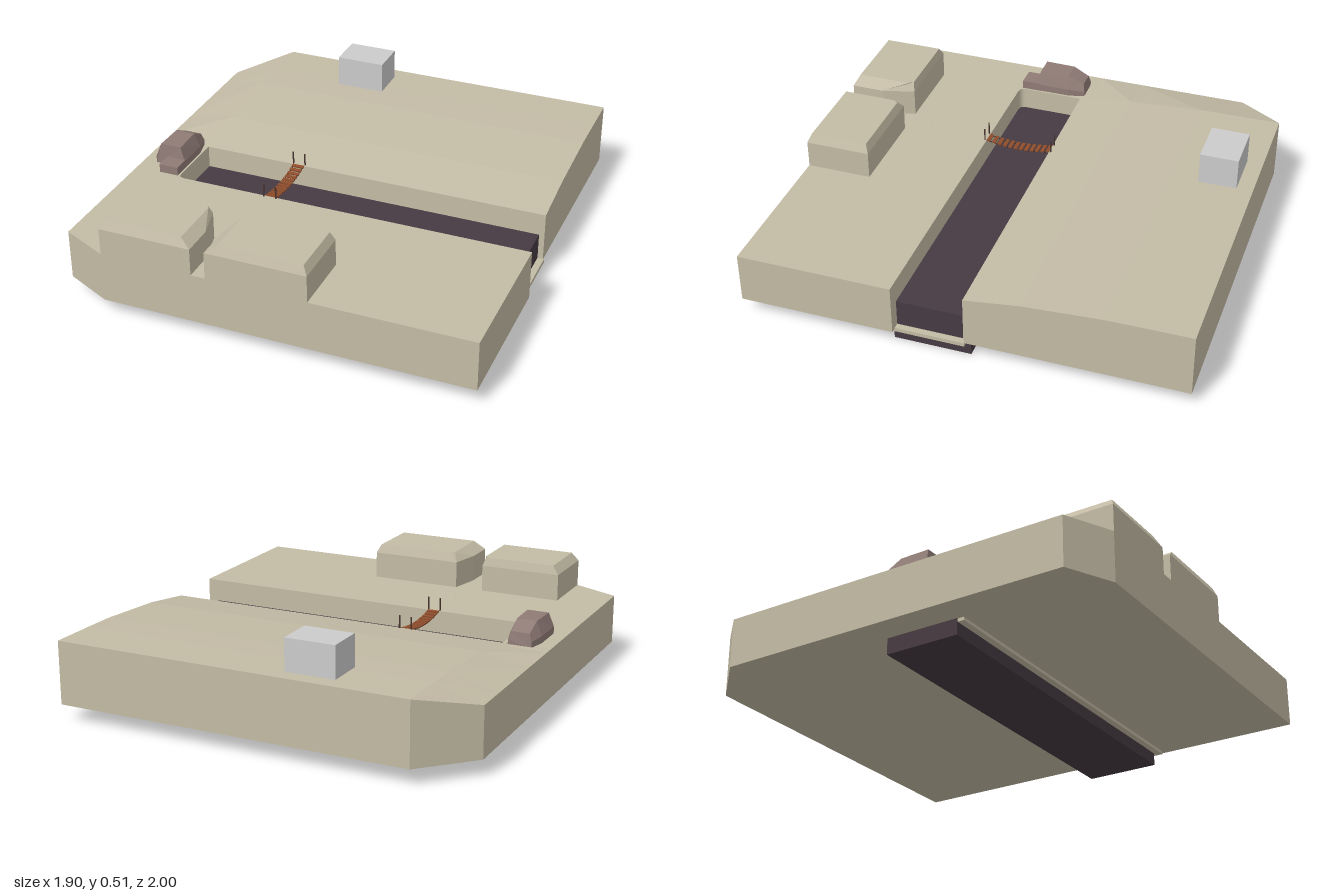
import * as THREE from 'three';

const material = (color) => new THREE.MeshStandardMaterial({ color, flatShading: true });
const earth = material(0xc3bba5);
const darkWater = material(0x463a42);
const mauve = material(0x8f7b76);
const wood = material(0x8f4d2c);
const darkWood = material(0x4a3530);
const grey = material(0xcccccc);

// Solid through rings of [x, y, z]; each ring runs counterclockwise seen from the last ring's end
function loft(rings) {
  const n = rings[0].length, last = (rings.length - 1) * n, index = [];
  for (let r = 0; r < last; r += n) {
    for (let i = 0; i < n; i++) {
      const j = (i + 1) % n;
      index.push(r + i, r + j, r + n + j, r + i, r + n + j, r + n + i);
    }
  }
  for (let i = 1; i < n - 1; i++) {
    index.push(0, i + 1, i, last, last + i, last + i + 1);
  }
  const g = new THREE.BufferGeometry();
  g.setAttribute('position', new THREE.Float32BufferAttribute(rings.flat(2), 3));
  g.setIndex(index);
  const flat = g.toNonIndexed();
  flat.computeVertexNormals();
  return flat;
}

export function createModel() {
  const model = new THREE.Group();

  const add = (name, geometry, mat, parent = model) => {
    const mesh = new THREE.Mesh(geometry, mat);
    mesh.name = name;
    parent.add(mesh);
    return mesh;
  };
  // Box given by its ranges on the three axes
  const box = (name, [x0, x1], [y0, y1], [z0, z1], mat, parent) => {
    const mesh = add(name, new THREE.BoxGeometry(x1 - x0, y1 - y0, z1 - z0), mat, parent);
    mesh.position.set((x0 + x1) / 2, (y0 + y1) / 2, (z0 + z1) / 2);
    return mesh;
  };

  // Flat front ground, wrapping round the closed end of the channel
  const bottom = 0.075, level = 0.305, bank = -0.015;
  const outline = new THREE.Shape();
  outline.moveTo(-0.95, -bank);
  outline.lineTo(-0.95, -0.895);
  outline.lineTo(-0.73, -1);
  outline.lineTo(0.95, -1);
  outline.lineTo(0.95, -0.295);
  outline.lineTo(-0.7, -0.295);
  outline.quadraticCurveTo(-0.73, -0.295, -0.73, -0.265);
  outline.lineTo(-0.73, -bank);
  const ground = new THREE.ExtrudeGeometry(outline, { depth: level - bottom, bevelEnabled: false, curveSegments: 4 });
  ground.rotateX(-Math.PI / 2).translate(0, bottom, 0);
  add('frontGround', ground, earth);

  // Rising back ground: level at its left edge, with one cut corner
  const profile = [[-1, 0.365], [-0.78, 0.364], [-0.62, 0.362], [-0.27, 0.34], [-0.065, 0.312], [bank, level]];
  add('backHill', loft(profile.map(([z, h]) => {
    const cut = Math.max(0, -0.78 - z) / 0.22;
    const left = -0.95 + 0.22 * cut;
    const leftTop = THREE.MathUtils.lerp(level, h, cut);
    return [[left, bottom, z], [0.92, bottom, z], [0.92, h, z], [-0.73, h, z], [left, leftTop, z]];
  })), earth);

  // Channel bed and the dark water body running through it
  box('channelBed', [-0.805, 0.925], [0.06, 0.078], [-0.02, 0.34], earth);
  box('water', [-0.81, 0.895], [0, 0.2], [-0.04, 0.31], darkWater);

  // Two bevelled blocks flanking the front gap
  const block = (name, base, top) => {
    const ring = (points, y) => points.map(([x, z]) => [x, y, z]);
    add(name, loft([ring(base, level - 0.01), ring(base, 0.43), ring(top, 0.47)]), earth);
  };
  block('rightBlock',
    [[-0.73, 1], [-0.305, 1], [-0.305, 0.85], [-0.345, 0.7], [-0.73, 0.7]],
    [[-0.7, 0.98], [-0.35, 0.98], [-0.35, 0.73], [-0.365, 0.71], [-0.7, 0.71]]);
  block('leftBlock',
    [[-0.24, 1], [0.22, 1], [0.22, 0.7], [-0.21, 0.7], [-0.24, 0.85]],
    [[-0.185, 0.983], [0.2, 0.983], [0.2, 0.715], [-0.17, 0.715], [-0.185, 0.74]]);

  // Plain box on the hill
  box('hillBox', [-0.37, -0.14], [0.34, 0.51], [-0.925, -0.75], grey);

  // Faceted hut at the closed end of the channel, with a low porch
  const hut = new THREE.Group();
  hut.name = 'hut';
  model.add(hut);
  const hutRing = (half, roofHalf, eave, roof, z, roofZ) => [
    [-half, 0.3, z], [half, 0.3, z], [half, eave, z],
    [roofHalf, roof, roofZ], [-roofHalf, roof, roofZ], [-half, eave, z],
  ].map(([x, y, zz]) => [x - 0.813, y, zz]);
  add('hutBody', loft([
    hutRing(0.055, 0.042, 0.33, 0.365, -0.028, -0.02),
    hutRing(0.073, 0.046, 0.338, 0.402, 0.05, 0.055),
    hutRing(0.073, 0.05, 0.338, 0.402, 0.208, 0.198),
  ]), mauve, hut);
  box('porch', [-0.83, -0.738], [0.3, 0.345], [0.19, 0.283], mauve, hut);

  // Sagging plank bridge with rope edges and end posts
  const bridge = new THREE.Group();
  bridge.name = 'bridge';
  model.add(bridge);
  const zMid = 0.14, half = 0.16;
  const sag = (z) => 0.286 + 0.02 * ((z - zMid) / half) ** 2;
  const planks = 12;
  for (let i = 0; i < planks; i++) {
    const z = zMid - half + (2 * half * (i + 0.5)) / planks;
    const plank = add('plank', new THREE.BoxGeometry(0.056, 0.006, 0.017), wood, bridge);
    plank.position.set(-0.266, sag(z), z);
    plank.rotation.x = -Math.atan((0.04 * (z - zMid)) / half ** 2);
  }
  for (const x of [-0.295, -0.237]) {
    const points = [0, 1, 2, 3, 4, 5, 6].map((i) => {
      const z = zMid - half + (half * i) / 3;
      return new THREE.Vector3(x + (x < -0.266 ? 0.006 : -0.006), sag(z) - 0.003, z);
    });
    add('rope', new THREE.TubeGeometry(new THREE.CatmullRomCurve3(points), 16, 0.003, 5), darkWood, bridge);
    for (const z of [zMid - half - 0.003, zMid + half + 0.003]) {
      add('post', new THREE.CylinderGeometry(0.0035, 0.0035, 0.07, 6), darkWood, bridge).position.set(x, 0.33, z);
    }
  }

  // Scattered pebbles on the path
  for (const [x, z] of [[-0.28, 0.57], [-0.255, 0.575], [-0.265, 0.59], [-0.25, 0.59], [-0.275, 0.61]]) {
    const pebble = add('pebble', new THREE.IcosahedronGeometry(0.005, 0), earth);
    pebble.position.set(x, level, z);
    pebble.scale.y = 0.5;
  }

  return model;
}
